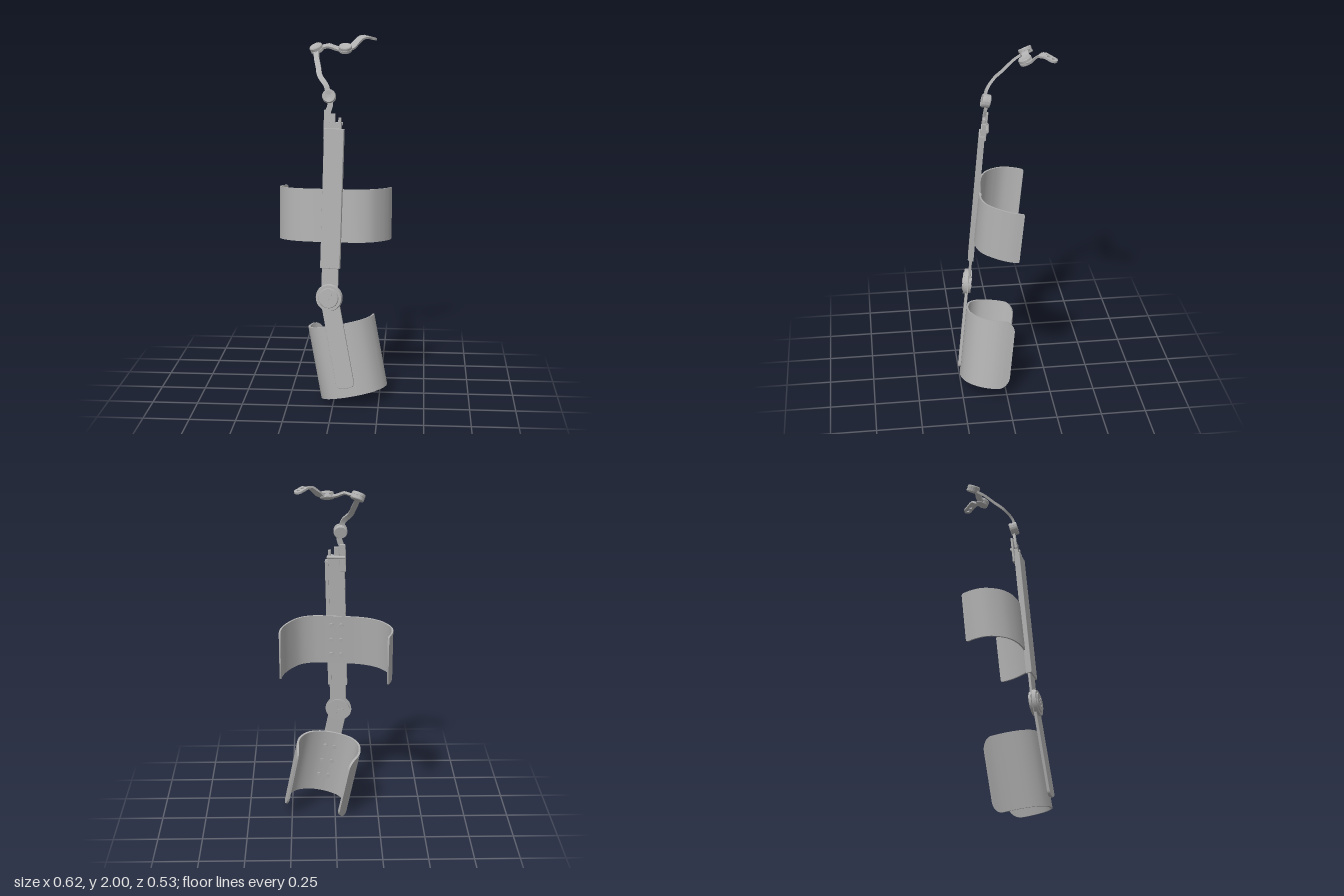
import * as THREE from 'three';
import { toCreasedNormals } from 'three/addons/utils/BufferGeometryUtils.js';

const grey = new THREE.MeshStandardMaterial({ color: 0xb0b0b0 });
grey.name = 'satin grey';
const V = (x, y, z) => new THREE.Vector3(x, y, z);

function add(parent, name, geo, pos = [0, 0, 0], rot = [0, 0, 0]) {
  const m = new THREE.Mesh(geo, grey);
  m.name = name;
  m.position.set(...pos);
  m.rotation.set(...rot);
  parent.add(m);
  return m;
}

// Closed skin over a row of four-cornered sections
function loft(rings) {
  const p = [];
  const quad = (a, b, c, d) => [a, b, c, a, c, d].forEach(v => p.push(v.x, v.y, v.z));
  for (let i = 0; i < rings.length - 1; i++)
    for (let j = 0; j < 4; j++) {
      const k = (j + 1) % 4;
      quad(rings[i][j], rings[i][k], rings[i + 1][k], rings[i + 1][j]);
    }
  quad(...[...rings[0]].reverse());
  quad(...rings[rings.length - 1]);
  const g = new THREE.BufferGeometry();
  g.setAttribute('position', new THREE.Float32BufferAttribute(p, 3));
  return toCreasedNormals(g, 0.6);
}

// Curved open shell following a plan path, with rounded corners at both ends
function cuffGeometry(path, top, bottom, thick, radius) {
  const curve = new THREE.CatmullRomCurve3(path.map(([x, z]) => V(x, 0, z)));
  const len = curve.getLength(), n = 96, rings = [];
  for (let i = 0; i <= n; i++) {
    const e = (1 - Math.cos(Math.PI * i / n)) / 2;
    const c = curve.getPointAt(e), t = curve.getTangentAt(e);
    const s = Math.max(0, radius - Math.min(e, 1 - e) * len);
    const inset = radius - Math.sqrt(Math.max(0, radius * radius - s * s)) * 0.98;
    const at = (y, d) => V(c.x + t.z * d, y, c.z - t.x * d);
    const hi = top - inset, lo = bottom + inset;
    rings.push([at(hi, 0), at(lo, 0), at(lo, thick), at(hi, thick)]);
  }
  return loft(rings);
}

// Bent flat strap; its face turns from normal n0 to normal n1
function strapGeometry(points, w0, w1, thick, n0, n1) {
  const curve = new THREE.CatmullRomCurve3(points.map(p => V(...p)));
  const rings = [], n = 32;
  for (let i = 0; i <= n; i++) {
    const u = i / n, c = curve.getPointAt(u), t = curve.getTangentAt(u);
    const s = t.clone().cross(V(...n0).lerp(V(...n1), u)).normalize();
    const nn = s.clone().cross(t).normalize();
    const w = (w0 + (w1 - w0) * u) / 2;
    rings.push([[1, 1], [-1, 1], [-1, -1], [1, -1]].map(([a, b]) =>
      c.clone().addScaledVector(nn, a * thick / 2).addScaledVector(s, b * w)));
  }
  return loft(rings);
}

// Flat bar along y with chosen corner radii at its lower and upper ends
function barGeometry(w, y0, y1, depth, r0, r1) {
  const h = w / 2, s = new THREE.Shape();
  s.moveTo(-h + r0, y0);
  s.lineTo(h - r0, y0);
  s.absarc(h - r0, y0 + r0, r0, -Math.PI / 2, 0);
  s.lineTo(h, y1 - r1);
  s.absarc(h - r1, y1 - r1, r1, 0, Math.PI / 2);
  s.lineTo(-h + r1, y1);
  s.absarc(-h + r1, y1 - r1, r1, Math.PI / 2, Math.PI);
  s.lineTo(-h, y0 + r0);
  s.absarc(-h + r0, y0 + r0, r0, Math.PI, Math.PI * 1.5);
  return new THREE.ExtrudeGeometry(s, {
    depth: depth - 0.006, bevelEnabled: true, bevelSize: 0.003, bevelOffset: -0.003,
    bevelThickness: 0.003, bevelSegments: 2, curveSegments: 12,
  }).translate(0, 0, 0.003 - depth / 2);
}

// Stepped round hinge whose axis is y
function hingeGeometry(r, h) {
  const pts = [[0, -h / 2], [r * 0.9, -h / 2], [r, -h * 0.4], [r, -h * 0.06], [r * 0.93, -h * 0.05],
    [r * 0.93, h * 0.05], [r, h * 0.06], [r, h * 0.36], [r * 0.9, h / 2], [r * 0.7, h / 2], [r * 0.45, h * 0.42], [0, h * 0.4]];
  return toCreasedNormals(new THREE.LatheGeometry(pts.map(p => new THREE.Vector2(...p)), 40), 0.6);
}

function hinge(parent, name, r, h, pos, axis) {
  const m = add(parent, name, hingeGeometry(r, h), pos);
  m.quaternion.setFromUnitVectors(V(0, 1, 0), V(...axis).normalize());
}

function screw(parent, x, y, z, r = 0.012) {
  add(parent, 'screw', new THREE.CylinderGeometry(r, r, 0.008, 16), [x, y, z], [Math.PI / 2, 0, 0]);
}

export function createModel() {
  const root = new THREE.Group();
  root.name = 'armBrace';

  // Upper rail: channel, sliding bar and round elbow joint
  const upper = new THREE.Group();
  upper.name = 'upperRail';
  upper.position.set(-0.022, 0.6, 0.19);
  upper.rotation.set(-0.09, -0.12, -0.013, 'YXZ');
  root.add(upper);
  add(upper, 'channelFace', barGeometry(0.108, 0.16, 0.92, 0.01, 0.012, 0.004), [0, 0, 0.007]);
  for (const s of [-1, 1]) {
    add(upper, 'channelSide', new THREE.BoxGeometry(0.01, 0.755, 0.026), [s * 0.049, 0.54, -0.005]);
    add(upper, 'channelLip', new THREE.BoxGeometry(0.018, 0.755, 0.006), [s * 0.044, 0.54, -0.017]);
  }
  add(upper, 'slidingBar', barGeometry(0.092, -0.04, 0.45, 0.014, 0.04, 0.004), [0, 0, -0.006]);
  const turn = [Math.PI / 2, 0, 0];
  add(upper, 'elbowBack', new THREE.CylinderGeometry(0.066, 0.066, 0.014, 40), [0, 0, -0.012], turn);
  add(upper, 'elbowDisc', new THREE.CylinderGeometry(0.07, 0.075, 0.022, 48), [0, 0, 0.012], turn);
  add(upper, 'elbowCap', new THREE.CylinderGeometry(0.052, 0.056, 0.008, 40), [0, 0, 0.025], turn);
  for (const [x, y] of [[-0.022, 0.002], [0.012, 0.022], [0.016, -0.018], [-0.004, -0.006]]) {
    screw(upper, x, y, 0.028, 0.008);
    screw(upper, x, y, -0.018, 0.008);
  }

  // Clamp at the top of the rail
  add(upper, 'clampBlock', new THREE.BoxGeometry(0.085, 0.05, 0.022), [-0.005, 0.925, -0.008]);
  add(upper, 'clampPlate', barGeometry(0.034, 0.86, 1.02, 0.012, 0.004, 0.008), [-0.046, 0, -0.024]);
  add(upper, 'clampTongue', barGeometry(0.03, 0.9, 1.0, 0.014, 0.004, 0.006), [-0.012, 0, -0.01]);
  add(upper, 'clampPost', new THREE.BoxGeometry(0.014, 0.07, 0.02), [0.027, 0.945, -0.012]);
  add(upper, 'clampPin', new THREE.CylinderGeometry(0.009, 0.009, 0.1, 16), [-0.01, 0.945, -0.03], [0, 0, Math.PI / 2]);

  // Upper cuff
  const upperCuff = new THREE.Group();
  upperCuff.name = 'upperCuff';
  upperCuff.position.set(0, 1.032, 0.015);
  upperCuff.rotation.x = -0.1;
  root.add(upperCuff);
  add(upperCuff, 'upperCuffShell', cuffGeometry([[-0.288, -0.165], [-0.309, -0.11], [-0.314, -0.05], [-0.295, 0],
    [-0.25, 0.055], [-0.19, 0.09], [-0.12, 0.11], [-0.03, 0.12], [0.06, 0.13], [0.13, 0.13], [0.2, 0.105],
    [0.26, 0.04], [0.296, -0.03], [0.308, -0.088]], 0.145, -0.145, 0.009, 0.012));
  for (const y of [-0.09, 0, 0.09]) for (const x of [-0.035, 0.02]) screw(upperCuff, x, y, 0.111 + x * 0.1);

  // Lower bar and cuff, swung sideways at the elbow
  const lower = new THREE.Group();
  lower.name = 'lowerArm';
  lower.position.set(-0.022, 0.6, 0.19);
  lower.rotation.set(-0.125, 0, 0.19);
  root.add(lower);
  add(lower, 'lowerBar', barGeometry(0.1, -0.508, 0.03, 0.016, 0.028, 0.045), [0, 0, 0.002], [0, -0.12, 0]);
  add(lower, 'lowerCuffShell', cuffGeometry([[-0.1, -0.3], [-0.138, -0.245], [-0.157, -0.17], [-0.149, -0.09],
    [-0.109, -0.038], [-0.05, -0.013], [0.01, -0.005], [0.075, -0.012], [0.145, -0.045], [0.19, -0.1],
    [0.211, -0.16], [0.213, -0.21], [0.206, -0.262]], -0.155, -0.562, 0.012, 0.07));
  for (const y of [-0.25, -0.35, -0.45]) for (const x of [-0.025, 0.03]) screw(lower, x, y, -0.021);

  // Jointed shoulder chain of hinges and bent straps
  const chain = new THREE.Group();
  chain.name = 'shoulderChain';
  root.add(chain);
  const n1 = [0, 0.25, 1], n2 = [-0.35, 0.85, 0.35], n3 = [0, 0.9, 0.4];
  hinge(chain, 'lowerHinge', 0.037, 0.045, [-0.03, 1.685, 0.08], n1);
  hinge(chain, 'outerHinge', 0.037, 0.038, [-0.115, 1.925, -0.142], n2);
  hinge(chain, 'innerHinge', 0.036, 0.036, [0.044, 1.927, -0.12], n3);
  add(chain, 'stemStrap', strapGeometry([[-0.034, 1.55, 0.095], [-0.035, 1.6, 0.088], [-0.024, 1.64, 0.082],
    [-0.028, 1.69, 0.075]], 0.03, 0.03, 0.014, [0, 0, 1], n1));
  add(chain, 'longStrap', strapGeometry([[-0.032, 1.69, 0.085], [-0.045, 1.74, 0.075], [-0.083, 1.79, 0.03],
    [-0.095, 1.83, -0.02], [-0.11, 1.88, -0.08], [-0.115, 1.915, -0.135]], 0.028, 0.028, 0.014, n1, n2));
  add(chain, 'shortStrap', strapGeometry([[-0.115, 1.925, -0.145], [-0.075, 1.935, -0.142], [-0.045, 1.94, -0.13],
    [0, 1.926, -0.13], [0.044, 1.922, -0.118]], 0.04, 0.036, 0.012, n2, n3));
  add(chain, 'endStrap', strapGeometry([[0.044, 1.928, -0.12], [0.075, 1.93, -0.14], [0.1, 1.955, -0.162],
    [0.13, 1.982, -0.182], [0.158, 1.987, -0.208]], 0.04, 0.046, 0.011, n3, [0.25, 0.95, 0]));

  // Rounded end tab with two mounting holes
  const tab = new THREE.Shape();
  tab.moveTo(0, -0.023);
  tab.lineTo(0.05, -0.023);
  tab.absarc(0.05, 0, 0.023, -Math.PI / 2, Math.PI / 2);
  tab.lineTo(0, 0.023);
  tab.closePath();
  for (const x of [0.02, 0.05]) {
    const hole = new THREE.Path();
    hole.absarc(x, 0, 0.009, 0, Math.PI * 2, true);
    tab.holes.push(hole);
  }
  const plate = add(chain, 'endTab', new THREE.ExtrudeGeometry(tab,
    { depth: 0.011, bevelEnabled: false, curveSegments: 16 }).translate(0, 0, -0.0055), [0.156, 1.987, -0.206]);
  const along = V(0.045, -0.016, -0.045).normalize();
  const across = V(0, 1, 0).cross(along).normalize();
  plate.quaternion.setFromRotationMatrix(new THREE.Matrix4().makeBasis(along, across, along.clone().cross(across)));

  return root;
}
